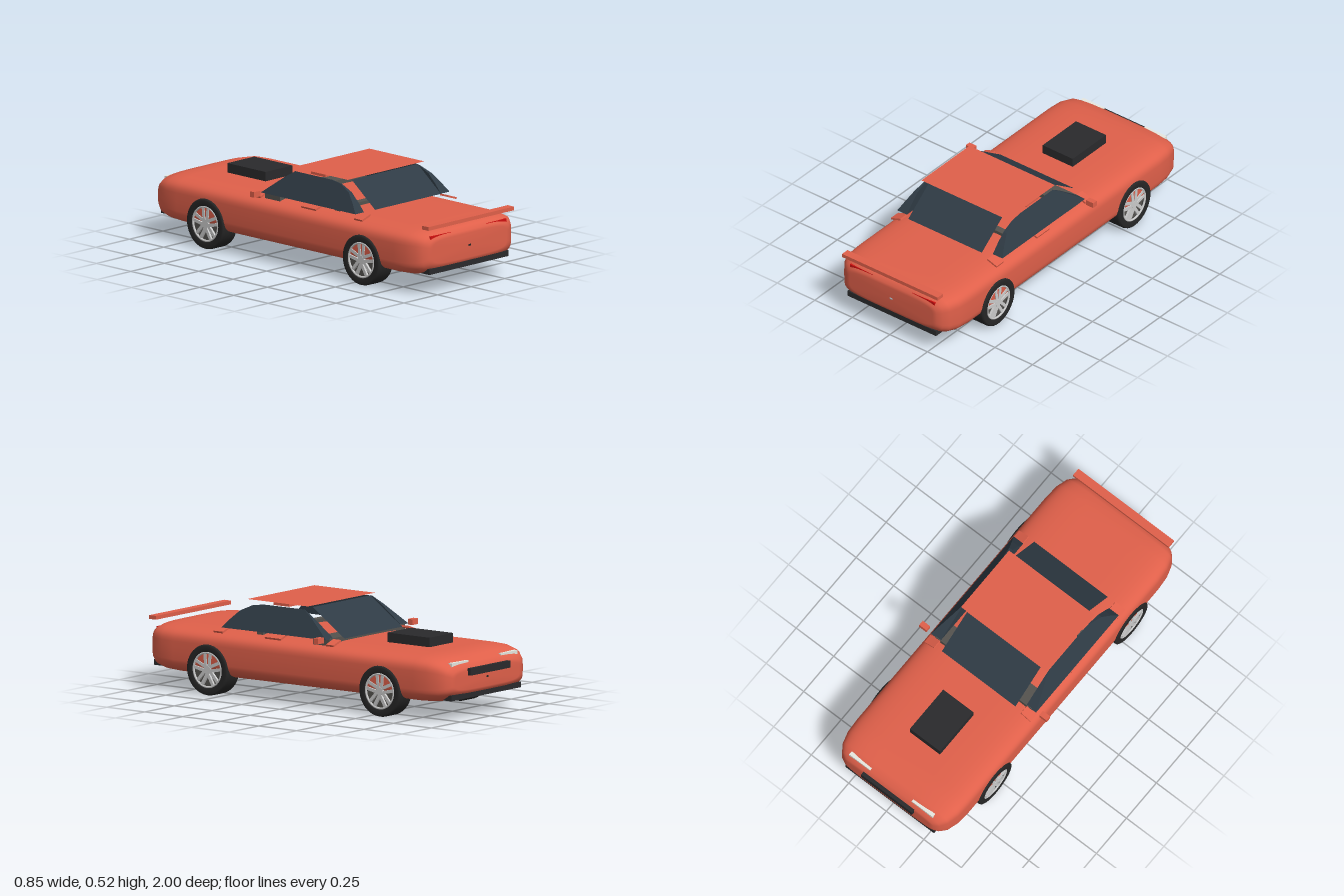
import * as THREE from 'three';

const mat = (color, side = THREE.FrontSide) => new THREE.MeshStandardMaterial({ color, side });
const paint = mat(0xe0604a), glass = mat(0x2f3b45), black = mat(0x2a2a2c);
const rubber = mat(0x262626), metal = mat(0xcccccc), trim = mat(0x55534f);
const red = mat(0xd01010), lamp = mat(0xe8e8e0);

function add(parent, name, geometry, material, x = 0, y = 0, z = 0) {
  const mesh = new THREE.Mesh(geometry, material);
  mesh.name = name;
  mesh.position.set(x, y, z);
  parent.add(mesh);
  return mesh;
}

// Box given by its limits on each axis
function box(parent, name, material, [x0, x1], [y0, y1], [z0, z1]) {
  return add(parent, name, new THREE.BoxGeometry(x1 - x0, y1 - y0, z1 - z0), material,
    (x0 + x1) / 2, (y0 + y1) / 2, (z0 + z1) / 2);
}

// Body shell: superellipse sections lofted along z
function bodyGeometry() {
  const stations = [ // z, half width, low y, high y
    [-0.982, 0.01, 0.205, 0.215], [-0.982, 0.27, 0.16, 0.26], [-0.978, 0.295, 0.147, 0.275],
    [-0.962, 0.325, 0.128, 0.3], [-0.925, 0.353, 0.107, 0.327], [-0.86, 0.371, 0.094, 0.342],
    [-0.78, 0.376, 0.09, 0.345], [0, 0.376, 0.09, 0.345], [0.8, 0.376, 0.09, 0.345],
    [0.88, 0.37, 0.094, 0.345], [0.94, 0.352, 0.106, 0.34], [0.97, 0.328, 0.122, 0.327],
    [0.986, 0.3, 0.145, 0.305], [0.99, 0.275, 0.16, 0.29], [0.99, 0.01, 0.22, 0.23],
  ];
  const n = 64, positions = [], index = [];
  const power = (v) => Math.sign(v) * Math.abs(v) ** (2 / 4.8);
  stations.forEach(([z, w, lo, hi], s) => {
    for (let i = 0; i < n; i++) {
      const a = (i / n) * Math.PI * 2;
      positions.push(w * power(Math.cos(a)), (lo + hi) / 2 + ((hi - lo) / 2) * power(Math.sin(a)), z);
      if (s === 0) continue;
      const j = (i + 1) % n, p = (s - 1) * n, q = s * n;
      index.push(p + i, p + j, q + j, p + i, q + j, q + i);
    }
  });
  const g = new THREE.BufferGeometry();
  g.setAttribute('position', new THREE.Float32BufferAttribute(positions, 3));
  g.setIndex(index);
  g.computeVertexNormals();
  return g;
}

// Side window: wedge with an upright inner face and a leaning outer face
function sideGlassGeometry() {
  const outline = [[0.5, 0.365], [0.46, 0.41], [0.41, 0.458], [0.34, 0.49], [0.27, 0.5],
    [0, 0.5], [-0.06, 0.462], [-0.19, 0.365]];
  const shape = new THREE.Shape(outline.map(([z, y]) => new THREE.Vector2(-z, y)));
  const g = new THREE.ExtrudeGeometry(shape, { depth: 1, bevelEnabled: false });
  g.rotateY(Math.PI / 2);
  const p = g.attributes.position;
  for (let i = 0; i < p.count; i++) {
    const outer = 0.35 - ((p.getY(i) - 0.365) / 0.135) * 0.062;
    p.setX(i, p.getX(i) > 0.5 ? outer : 0.286);
  }
  g.computeVertexNormals();
  return g;
}

// Sloped one-sided pane between a lower and an upper edge
function pane(parent, name, width, [z0, y0], [z1, y1]) {
  const g = new THREE.PlaneGeometry(width, Math.hypot(z1 - z0, y1 - y0));
  g.rotateX(-Math.atan2(Math.abs(z1 - z0), y1 - y0));
  if (z1 > z0) g.rotateY(Math.PI);
  add(parent, name, g, glass, 0, (y0 + y1) / 2, (z0 + z1) / 2);
}

// Wheel with its axle along x and its outer face at +x
function makeWheel() {
  const wheel = new THREE.Group();
  wheel.name = 'wheel';
  const lathe = (pts) => new THREE.LatheGeometry(pts.map(([r, x]) => new THREE.Vector2(r, x)), 40)
    .rotateZ(-Math.PI / 2);
  add(wheel, 'tyre', lathe([[0.001, 0], [0.125, 0], [0.132, 0.004], [0.135, 0.014], [0.135, 0.096],
    [0.132, 0.106], [0.125, 0.11], [0.1, 0.11], [0.095, 0.104], [0.094, 0.085]]), rubber);
  add(wheel, 'rimRing', new THREE.TorusGeometry(0.091, 0.006, 8, 40).rotateY(Math.PI / 2), metal, 0.102);
  add(wheel, 'rimDisc', new THREE.CylinderGeometry(0.092, 0.092, 0.01, 40).rotateZ(Math.PI / 2), trim, 0.086);
  add(wheel, 'hub', new THREE.CylinderGeometry(0.022, 0.022, 0.016, 20).rotateZ(Math.PI / 2), metal, 0.098);
  for (let i = 0; i < 5; i++) {
    for (const s of [-1, 1]) {
      const g = new THREE.BoxGeometry(0.012, 0.08, 0.017);
      g.translate(0, 0.052, 0).rotateX(s * 0.1).translate(0, 0, s * 0.009);
      g.rotateX((i / 5) * Math.PI * 2);
      add(wheel, 'spoke', g, metal, 0.099);
    }
  }
  return wheel;
}

// Everything that occurs once on each side
function makeSide() {
  const side = new THREE.Group();
  for (const z of [-0.565, 0.57]) {
    const wheel = makeWheel();
    wheel.position.set(0.275, 0.137, z);
    side.add(wheel);
  }
  add(side, 'sideWindow', sideGlassGeometry(), glass);
  // Pillar feet leaning outward
  for (const [z, length] of [[-0.215, 0.05], [0.16, 0.105], [0.52, 0.06]]) {
    add(side, 'pillarFoot', new THREE.BoxGeometry(0.066, 0.01, length), paint, 0.32, 0.349, z)
      .rotation.z = -0.33;
  }
  box(side, 'mirror', paint, [0.376, 0.424], [0.353, 0.383], [-0.195, -0.165]);
  box(side, 'tailLight', red, [0.13, 0.282], [0.287, 0.315], [0.93, 0.98]);
  box(side, 'headlight', lamp, [0.138, 0.278], [0.28, 0.31], [-0.962, -0.94]);
  return side;
}

export function createModel() {
  const car = new THREE.Group();
  car.name = 'car';
  add(car, 'body', bodyGeometry(), paint);

  // Cabin
  add(car, 'roof', new THREE.PlaneGeometry(0.57, 0.4).rotateX(-Math.PI / 2), paint, 0, 0.518, 0.18);
  box(car, 'roofHoop', paint, [-0.28, 0.28], [0.503, 0.517], [0.108, 0.212]);
  pane(car, 'rearWindow', 0.49, [0.54, 0.378], [0.37, 0.51]);
  pane(car, 'windscreen', 0.49, [-0.23, 0.365], [-0.02, 0.51]);
  box(car, 'dashboard', trim, [-0.32, 0.32], [0.33, 0.368], [-0.19, -0.08]);
  box(car, 'seatBack', trim, [-0.28, 0.28], [0.33, 0.362], [0.28, 0.32]);

  // Body fittings
  box(car, 'spoiler', paint, [-0.318, 0.318], [0.356, 0.376], [0.955, 1]);
  box(car, 'hoodScoop', black, [-0.1, 0.1], [0.335, 0.395], [-0.678, -0.4]);
  box(car, 'grille', black, [-0.17, 0.168], [0.235, 0.272], [-1, -0.97]);
  box(car, 'rearLowerTrim', black, [-0.295, 0.295], [0.113, 0.143], [0.92, 0.985]);
  box(car, 'frontLowerTrim', black, [-0.295, 0.295], [0.113, 0.143], [-0.972, -0.92]);

  // Left and right sides
  const left = makeSide();
  left.name = 'leftSide';
  const right = makeSide();
  right.name = 'rightSide';
  right.scale.x = -1;
  car.add(left, right);
  return car;
}
